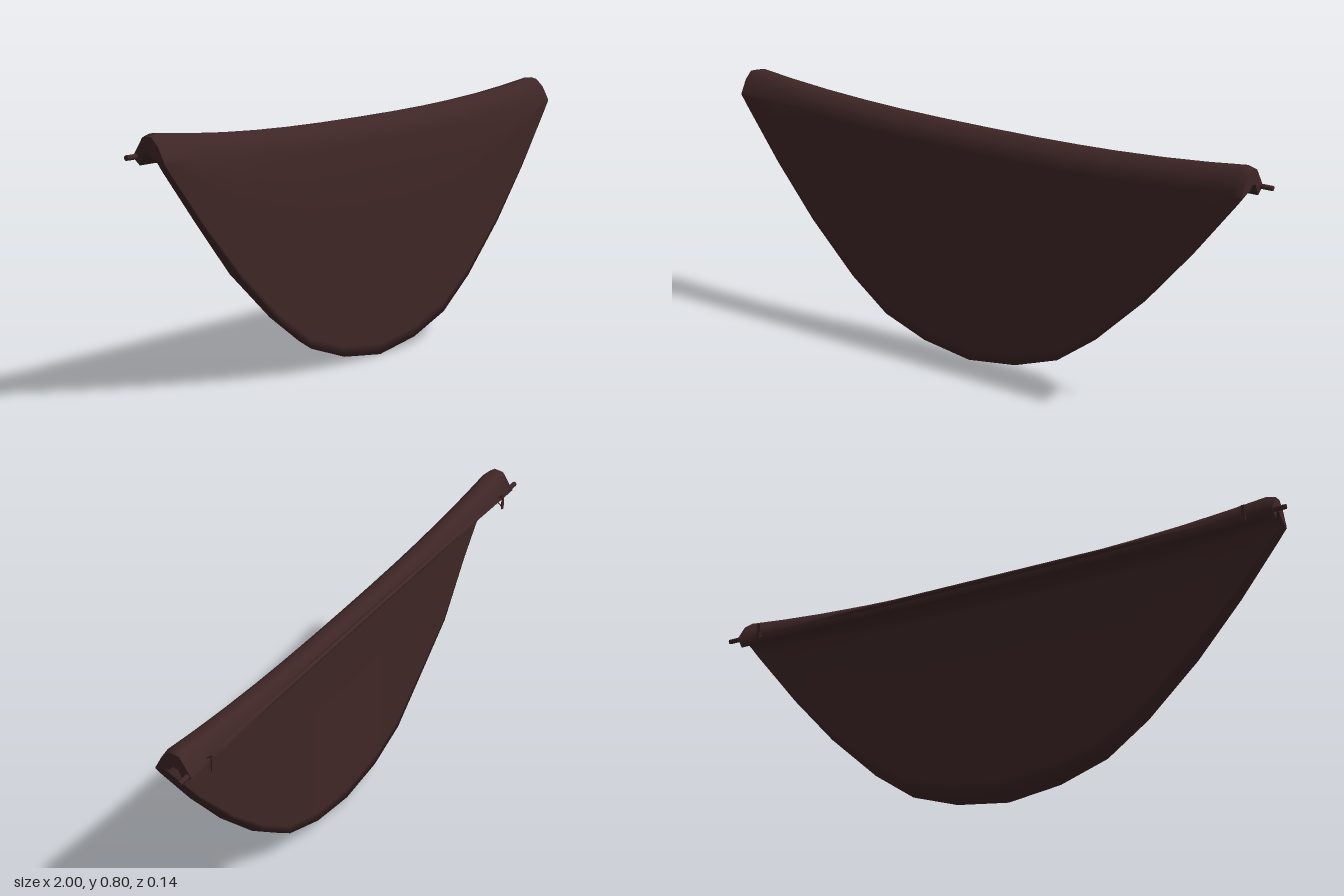
import * as THREE from 'three';

// Half of the lower outline: x, front rim height, depth of the back rim
const HALF = [
  [0, 0, 0.018], [0.18, 0.025, 0.018], [0.34, 0.08, 0.022], [0.48, 0.18, 0.027],
  [0.65, 0.34, 0.02], [0.8, 0.51, 0.03], [0.93, 0.675, 0.027], [0.96, 0.715, 0.027],
];

// Closed cross-section at one station: outer points going up and over, then inner points
function section([x, rim, backZ]) {
  const a = Math.min(Math.abs(x) / 0.93, 1);
  const drop = 0.045 * (1 - Math.pow(a, 2.5)) + (Math.abs(x) > 0.95 ? 0.008 : 0);
  const mix = (p, q) => p + (q - p) * a;
  const bendY = 0.727 - drop;
  const bendZ = 0.065 - 0.005 * a * a;
  const outer = [], inner = [];
  const low = rim + 0.022 * (1 - a * 0.6);
  for (const t of [0, 0.05, 0.3, 0.65, 1]) {
    const y = rim + (bendY - rim) * t;
    outer.push([THREE.MathUtils.lerp(0.072, bendZ, y / 0.72), y]);
    inner.push([THREE.MathUtils.lerp(backZ, 0.026, t), low + (Math.max(bendY - 0.008, low + 0.002) - low) * t]);
  }
  // rolled top and hanging lip
  outer.push([0.037, 0.77 - drop], [0.01, 0.795 - drop], [-0.022, 0.791 - drop], [mix(-0.047, -0.06), 0.725]);
  inner.push([0.014, 0.735 - drop], [0, 0.75 - drop], [-0.018, 0.743 - drop * 0.75], [mix(-0.032, -0.033), 0.703]);
  return outer.concat(inner.reverse()).map(([z, y]) => [x, y, z]);
}

function sheetGeometry() {
  const stations = HALF.slice(1).reverse().map(([x, y, z]) => [-x, y, z]).concat(HALF);
  const rings = stations.map(section);
  const n = rings[0].length, pos = rings.flat(2), idx = [];
  for (let i = 0; i < rings.length - 1; i++) {
    for (let j = 0; j < n; j++) {
      const k = (j + 1) % n;
      const a = i * n + j, b = a + n, c = (i + 1) * n + k, d = i * n + k;
      idx.push(a, b, c, a, c, d);
    }
  }
  // flat end caps with their own vertices
  for (const end of [0, rings.length - 1]) {
    const base = pos.length / 3;
    pos.push(...rings[end].flat());
    for (let k = 0; k < n / 2 - 1; k++) {
      const o = base + k, i = base + n - 1 - k;
      if (end) idx.push(o, i, i - 1, o, i - 1, o + 1);
      else idx.push(o, i - 1, i, o, o + 1, i - 1);
    }
  }
  const g = new THREE.BufferGeometry();
  g.setAttribute('position', new THREE.Float32BufferAttribute(pos, 3));
  g.setIndex(idx);
  g.computeVertexNormals();
  return g;
}

export function createModel() {
  const model = new THREE.Group();
  const brown = new THREE.MeshStandardMaterial({ color: 0x3f2626 });
  brown.name = 'dark brown';
  const add = (parent, name, geometry) => {
    const m = new THREE.Mesh(geometry, brown);
    m.name = name;
    parent.add(m);
    return m;
  };

  add(model, 'curvedSheet', sheetGeometry());

  // straight rod behind the lip
  const rod = add(model, 'rod', new THREE.CylinderGeometry(0.008, 0.008, 2, 8));
  rod.rotation.z = Math.PI / 2;
  rod.position.set(0, 0.727, -0.047);

  // small clips holding the rod near each end
  for (const side of [-1, 1]) {
    const clip = new THREE.Group();
    clip.name = side > 0 ? 'leftClip' : 'rightClip';
    clip.position.set(side * 0.87, 0.727, -0.047);
    add(clip, 'clipBar', new THREE.BoxGeometry(0.012, 0.055, 0.004)).position.z = -0.022;
    for (const s of [-1, 1]) {
      const prong = add(clip, 'clipProng', new THREE.CylinderGeometry(0.002, 0.002, 0.034, 6));
      prong.position.set(0, s * 0.012, -0.009);
      prong.rotation.x = -s * 0.87;
    }
    model.add(clip);
  }
  return model;
}
